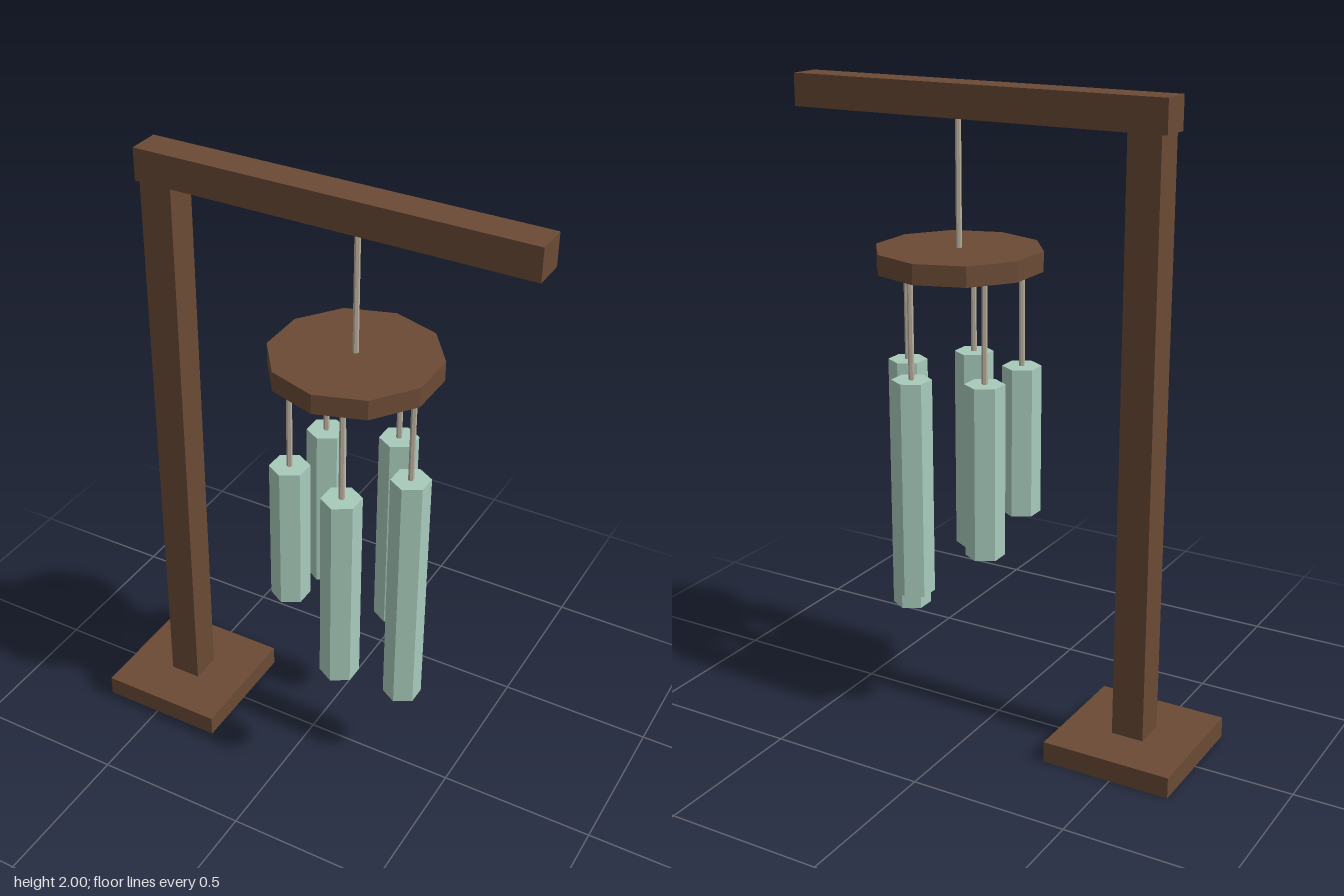
import * as THREE from 'three';

function material(name, color) {
  const m = new THREE.MeshStandardMaterial({ color, flatShading: true });
  m.name = name;
  return m;
}

export function createModel() {
  const model = new THREE.Group();
  model.name = 'windChime';
  const wood = material('brown wood', 0x6b4a35);
  const metal = material('pale green metal', 0xa8cbbb);
  const cord = material('beige cord', 0xb8ad9c);

  function add(name, geometry, mat, x, y, z, parent = model) {
    const mesh = new THREE.Mesh(geometry, mat);
    mesh.name = name;
    mesh.position.set(x, y, z);
    parent.add(mesh);
  }

  // Upright prism between two heights
  function prism(name, radius, sides, bottom, top, mat, x, z, parent) {
    const geometry = new THREE.CylinderGeometry(radius, radius, top - bottom, sides);
    add(name, geometry, mat, x, (top + bottom) / 2, z, parent);
  }

  // Stand
  add('base', new THREE.BoxGeometry(0.412, 0.067, 0.412), wood, -0.483, 0.0335, 0);
  add('post', new THREE.BoxGeometry(0.103, 1.835, 0.103), wood, -0.483, 0.9825, 0);
  add('beam', new THREE.BoxGeometry(1.237, 0.1, 0.103), wood, 0.068, 1.95, 0);

  // Ten-sided disc on its hanging cord
  const cx = 0.137;
  prism('mainCord', 0.009, 6, 1.51, 1.902, cord, cx, 0);
  prism('disc', 0.257, 10, 1.451, 1.513, wood, cx, 0);

  // Ring of five hexagonal tubes with different lower ends
  const tubeBottoms = [0.312, 0.487, 0.662, 0.595, 0.455];
  tubeBottoms.forEach((bottom, i) => {
    const angle = (i / tubeBottoms.length) * Math.PI * 2;
    const x = cx + Math.cos(angle) * 0.19;
    const z = Math.sin(angle) * 0.19;
    const chime = new THREE.Group();
    chime.name = `chime${i + 1}`;
    prism('tubeCord', 0.009, 6, 1.138, 1.453, cord, x, z, chime);
    prism('tube', 0.061, 6, bottom, 1.14, metal, x, z, chime);
    model.add(chime);
  });

  return model;
}
